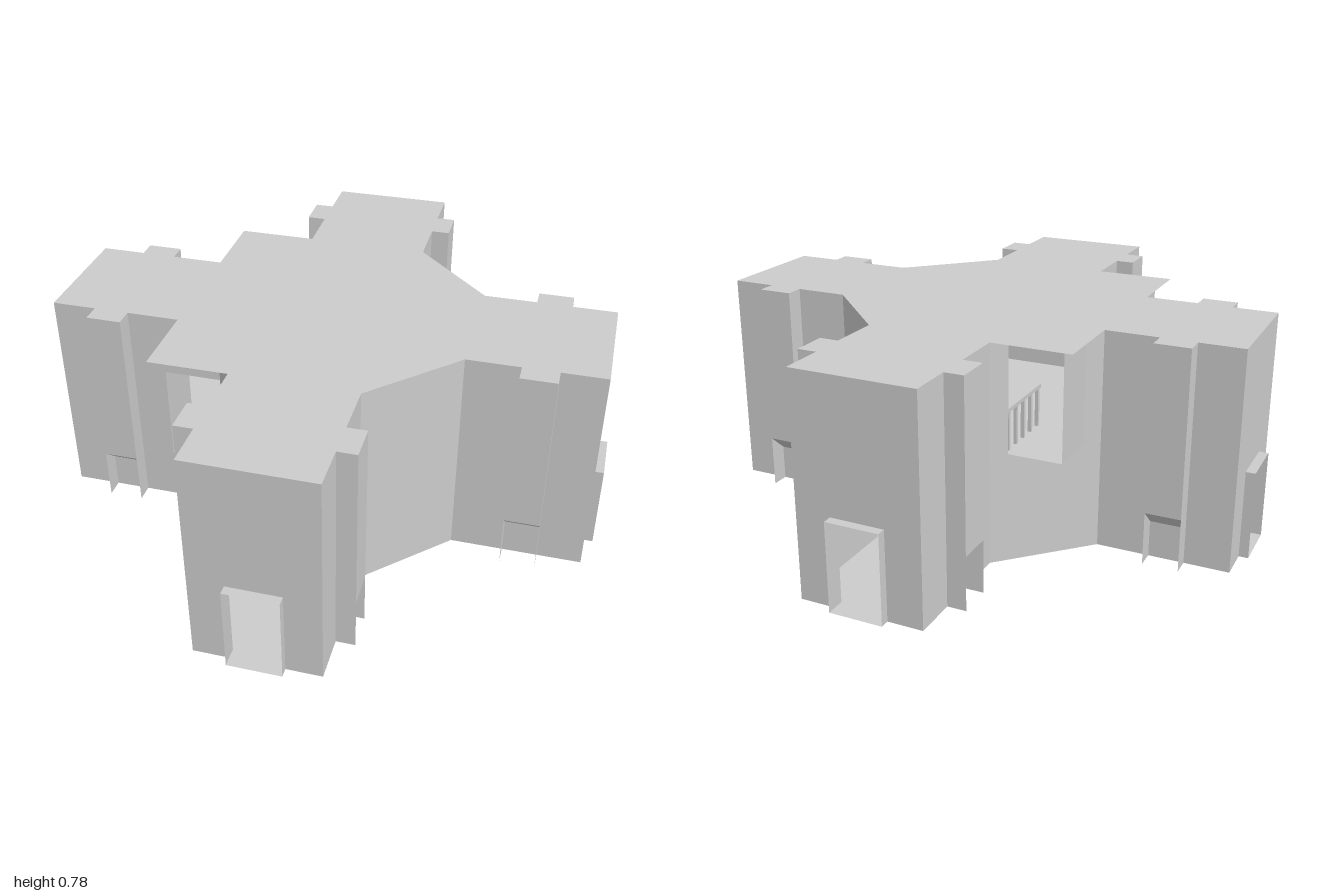
import * as THREE from 'three';

const H = 0.78;      // roof height
const A = 0.22;      // half width of an arm
const E = 0.967;     // end of an arm
const C = 0.5;       // where the corner walls meet the arms
const DOOR = 0.095, DOOR_H = 0.315;
const SILL = 0.39, HEAD = 0.72;

const mat = new THREE.MeshStandardMaterial({ color: 0xcccccc, flatShading: true, side: THREE.DoubleSide });

const shapeOf = (pts) => new THREE.Shape(pts.map(([x, y]) => new THREE.Vector2(x, y)));
const rect = (x0, y0, x1, y1) => [[x0, y0], [x1, y0], [x1, y1], [x0, y1]];

function add(parent, name, geometry, x = 0, y = 0, z = 0) {
  const mesh = new THREE.Mesh(geometry, mat);
  mesh.name = name;
  mesh.position.set(x, y, z);
  parent.add(mesh);
  return mesh;
}

// Upright sheet standing on the plan line a -> b, with an optional hole
function panel(parent, name, a, b, y0, y1, hole) {
  const dx = b[0] - a[0], dz = b[1] - a[1];
  const shape = shapeOf(rect(0, y0, Math.hypot(dx, dz), y1));
  if (hole) shape.holes.push(shapeOf(hole));
  const mesh = add(parent, name, new THREE.ShapeGeometry(shape), a[0], 0, a[1]);
  mesh.rotation.y = Math.atan2(-dz, dx);
  return mesh;
}

// Flat sheet from plan points (x, z)
function slab(parent, name, pts, y) {
  const mesh = add(parent, name, new THREE.ShapeGeometry(shapeOf(pts)), 0, y, 0);
  mesh.rotation.x = Math.PI / 2;
  return mesh;
}

// One arm pointing to +z
function buildArm() {
  const arm = new THREE.Group();
  arm.name = 'arm';

  // End wall with doorway
  add(arm, 'endWall', new THREE.ShapeGeometry(shapeOf([
    [-A, 0], [-DOOR, 0], [-DOOR, DOOR_H], [DOOR, DOOR_H], [DOOR, 0], [A, 0], [A, H], [-A, H],
  ])), 0, 0, E);

  // Projecting door sleeve
  for (const s of [-1, 1]) {
    panel(arm, 'doorJamb', [s * DOOR, 0.93], [s * DOOR, 1], 0, DOOR_H);
  }
  slab(arm, 'doorLintel', rect(-DOOR, 0.93, DOOR, 1), DOOR_H);
  slab(arm, 'doorStep', rect(-DOOR, E, DOOR, 1), 0);

  for (const s of [-1, 1]) {
    panel(arm, 'sideWall', [s * A, C], [s * A, E], 0, H);

    // Buttress with sloped underside
    const out = s * 0.067;
    const profile = shapeOf([[0, 0.13], [out, 0.19], [out, H], [0, H]]);
    add(arm, 'buttress', new THREE.ExtrudeGeometry(profile, { depth: 0.124, bevelEnabled: false }), s * A, 0, 0.686);

    // Thin cheeks that carry the buttress sides to the ground
    for (const z of [0.686, 0.81]) {
      add(arm, 'buttressCheek', new THREE.ShapeGeometry(
        shapeOf([[0, 0], [out, 0], [out, 0.19], [0, 0.13]])), s * A, 0, z);
    }
  }
  return arm;
}

// Balcony bay on the corner at -x, s * z
function buildBay(s) {
  const bay = new THREE.Group();
  bay.name = 'bay';
  const o = 0.455, i = 0.265;
  panel(bay, 'bayCheek', [-o, s * i], [-o, s * o], SILL, H);
  panel(bay, 'bayHeader', [-o, s * o], [-i, s * o], HEAD, H);
  slab(bay, 'bayFloor', [[-o, s * i], [-o, s * o], [-i, s * o]], SILL);
  slab(bay, 'bayCeiling', [[-o, s * i], [-o, s * o], [-i, s * o]], HEAD);
  // Gallery railing behind the opening
  for (let k = 0; k < 5; k++) {
    add(bay, 'railPost', new THREE.BoxGeometry(0.012, 0.14, 0.012), -0.24, 0.45, s * (0.16 + 0.06 * k));
  }
  add(bay, 'handrail', new THREE.BoxGeometry(0.016, 0.014, 0.27), -0.24, 0.525, s * 0.28);
  return bay;
}

export function createModel() {
  const model = new THREE.Group();
  model.name = 'junctionBuilding';

  for (let k = 0; k < 4; k++) {
    const arm = buildArm();
    arm.rotation.y = k * Math.PI / 2;
    model.add(arm);
  }

  // Diagonal corner walls; the two at -x are opened for the bays
  const L = Math.hypot(C - A, C - A), t = 0.045 * Math.SQRT2;
  for (const sx of [-1, 1]) for (const sz of [-1, 1]) {
    const hole = sx < 0 ? rect(t, SILL, L - t, HEAD) : null;
    panel(model, 'cornerWall', [sx * A, sz * C], [sx * C, sz * A], 0, H, hole);
  }
  for (const s of [-1, 1]) model.add(buildBay(s));

  // Ground floor, upper floor and roof share the cross plan
  const right = [[A, -E], [A, -C], [C, -A], [E, -A], [E, A], [C, A], [A, C], [A, E]];
  const left = right.map(([x, z]) => [-x, z]).reverse();
  slab(model, 'groundFloor', [...right, ...left], 0);
  slab(model, 'upperFloor', [...right, ...left], 0.37);

  // The roof overhangs to square corners on the -x side
  const roofLeft = [[-A, E], [-A, C], [-C, C], [-C, A], [-E, A], [-E, -A], [-C, -A], [-C, -C], [-A, -C], [-A, -E]];
  slab(model, 'roof', [...right, ...roofLeft], H);

  return model;
}
